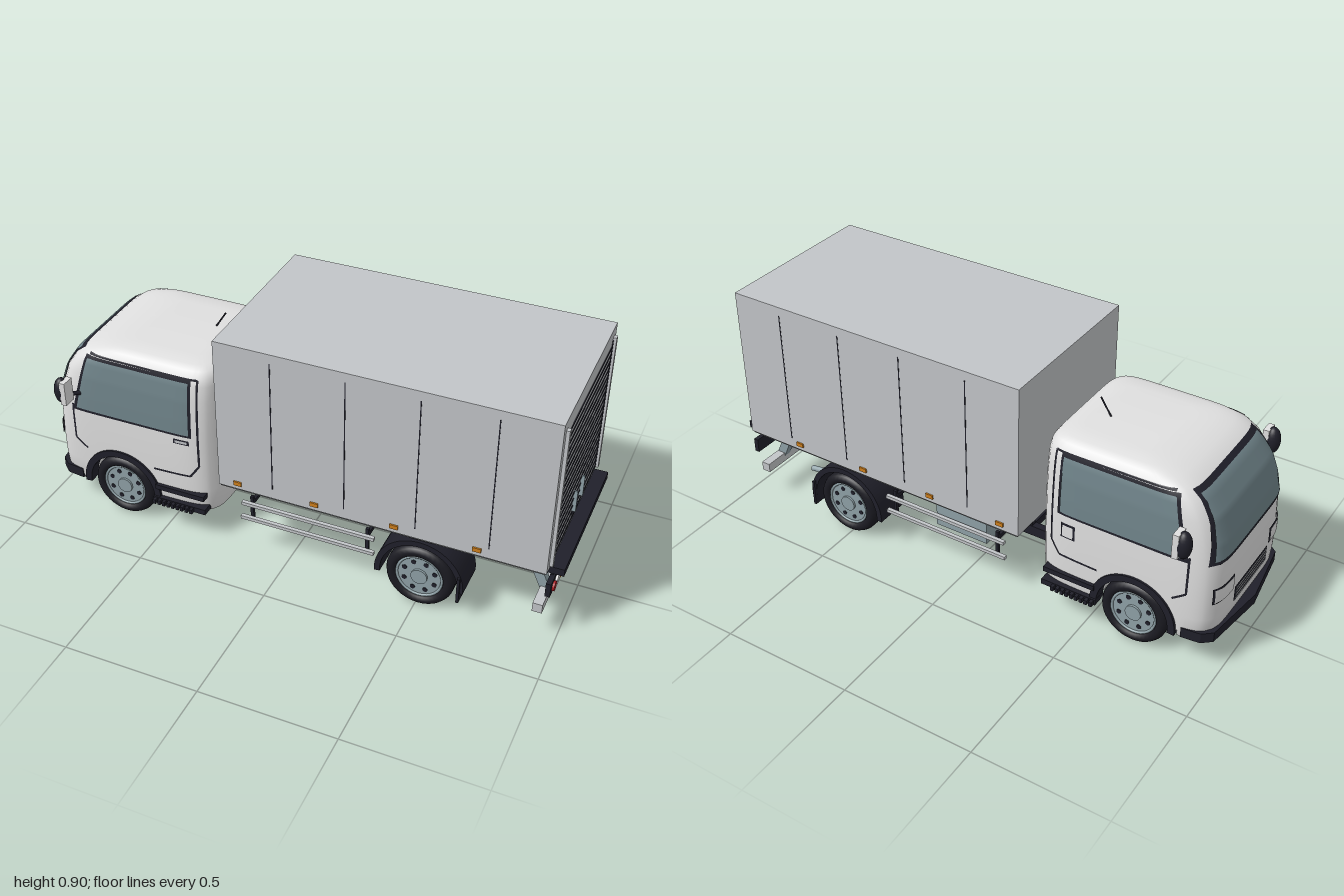
import * as THREE from 'three';
import { toCreasedNormals } from 'three/addons/utils/BufferGeometryUtils.js';
import { ParametricGeometry } from 'three/addons/geometries/ParametricGeometry.js';

function mat(name, color) {
  const m = new THREE.MeshStandardMaterial({ color, side: THREE.DoubleSide });
  m.name = name;
  return m;
}

// Cab sections from sill to roof: height, front x, back x, half width
const LEVELS = [
  [0.10, -0.945, -0.30, 0.278], [0.13, -0.962, -0.292, 0.287], [0.20, -0.968, -0.29, 0.29],
  [0.30, -0.968, -0.29, 0.291], [0.42, -0.963, -0.29, 0.29], [0.50, -0.945, -0.29, 0.286],
  [0.58, -0.917, -0.291, 0.28], [0.64, -0.876, -0.294, 0.271], [0.67, -0.835, -0.299, 0.261],
  [0.688, -0.785, -0.312, 0.243], [0.698, -0.73, -0.335, 0.215], [0.703, -0.66, -0.38, 0.16],
];
const POW = 7;
const ARCH = { x: -0.68, y: 0.125, r: 0.152 };

function sectionAt(y) {
  let k = 0;
  while (k < LEVELS.length - 2 && y > LEVELS[k + 1][0]) k++;
  const a = LEVELS[k], b = LEVELS[k + 1];
  const t = THREE.MathUtils.clamp((y - a[0]) / (b[0] - a[0]), 0, 1);
  const [, f, r, w] = a.map((v, i) => v + (b[i] - v) * t);
  return { c: (f + r) / 2, a: (r - f) / 2, w };
}
const round = (s) => Math.pow(Math.max(0, 1 - Math.pow(Math.abs(s), POW)), 1 / POW);
const sideZ = (x, y) => { const s = sectionAt(y); return s.w * round((x - s.c) / s.a); };
const frontX = (z, y) => { const s = sectionAt(y); return s.c - s.a * round(z / s.w); };

// Rounded cab shell, with the sill lifted over the wheel arches
function cabGeometry() {
  const ring = [], m = Math.pow(0.5, 1 / POW), N = 48, M = 20;
  for (let i = 0; i < N; i++) { const s = -m + 2 * m * i / N; ring.push([s, round(s)]); }
  for (let i = 0; i < M; i++) { const s = m - 2 * m * i / M; ring.push([round(s), s]); }
  for (let i = 0; i < N; i++) { const s = m - 2 * m * i / N; ring.push([s, -round(s)]); }
  for (let i = 0; i < M; i++) { const s = -m + 2 * m * i / M; ring.push([-round(s), s]); }
  const rows = [[LEVELS[0][0], 0], ...LEVELS.map((l) => [l[0], 1]), [0.703, 0]];
  const pos = [], idx = [], n = ring.length;
  rows.forEach(([h, wide]) => ring.forEach(([u, v]) => {
    let s = sectionAt(h);
    const d = s.c + s.a * u - ARCH.x;
    const y = Math.abs(d) < ARCH.r ? Math.max(h, ARCH.y + Math.sqrt(ARCH.r ** 2 - d * d)) : h;
    s = sectionAt(y);
    pos.push(s.c + s.a * u, y, s.w * v * wide);
  }));
  for (let k = 0; k < rows.length - 1; k++) for (let i = 0; i < n; i++) {
    const a = k * n + i, b = k * n + (i + 1) % n;
    idx.push(a, b, b + n, a, b + n, a + n);
  }
  const g = new THREE.BufferGeometry();
  g.setAttribute('position', new THREE.Float32BufferAttribute(pos, 3));
  g.setIndex(idx);
  return toCreasedNormals(g, 0.8);
}

// Plates that follow the cab skin; corners run around the quad
function skin(corners, toPoint, nu = 16, nv = 10) {
  const [a, b, c, d] = corners;
  return new ParametricGeometry((u, v, out) => {
    const at = (i) => (a[i] * (1 - u) + b[i] * u) * (1 - v) + (d[i] * (1 - u) + c[i] * u) * v;
    out.set(...toPoint(at(0), at(1)));
  }, nu, nv);
}
const sidePlate = (q, s, off) => skin(q, (x, y) => [x, y, s * (sideZ(x, y) + off)]);
const frontPlate = (q, off) => skin(q, (z, y) => [frontX(z, y) - off, y, z]);
const rect = (a0, a1, y0, y1) => [[a0, y0], [a1, y0], [a1, y1], [a0, y1]];
function stroke(x0, y0, x1, y1, w = 0.004) {
  const l = Math.hypot(x1 - x0, y1 - y0), nx = -(y1 - y0) / l * w, ny = (x1 - x0) / l * w;
  return [[x0 - nx, y0 - ny], [x1 - nx, y1 - ny], [x1 + nx, y1 + ny], [x0 + nx, y0 + ny]];
}

function fenderGeometry(inner, outer, depth) {
  const s = new THREE.Shape();
  s.absarc(0, 0, outer, -0.08, Math.PI + 0.08, false);
  s.absarc(0, 0, inner, Math.PI + 0.08, -0.08, true);
  return new THREE.ExtrudeGeometry(s, { depth, bevelEnabled: false, curveSegments: 24 }).translate(0, 0, -depth / 2);
}

export function createModel() {
  const white = mat('cab white', 0xe0e0e0), grey = mat('box grey', 0xc2c5c8), dark = mat('black trim', 0x20202a);
  const rubber = mat('tyre rubber', 0x1b1b22), glass = mat('window glass', 0x70848a), steel = mat('blue steel', 0x8fa1a7);
  const red = mat('red lamp', 0xb01c22), orange = mat('orange lamp', 0xd0801c), under = mat('floor grey', 0x606264);
  const root = new THREE.Group();
  root.name = 'boxTruck';
  const add = (name, geo, m, x = 0, y = 0, z = 0, parent = root) => {
    const o = new THREE.Mesh(geo, m);
    o.name = name;
    o.position.set(x, y, z);
    parent.add(o);
    return o;
  };
  // Box given by its limits
  const block = (name, m, x0, x1, y0, y1, z0, z1) =>
    add(name, new THREE.BoxGeometry(x1 - x0, y1 - y0, Math.abs(z1 - z0)), m, (x0 + x1) / 2, (y0 + y1) / 2, (z0 + z1) / 2);
  const rod = (name, m, r, p, q) => add(name, new THREE.TubeGeometry(
    new THREE.LineCurve3(new THREE.Vector3(...p), new THREE.Vector3(...q)), 1, r, 12), m);

  // Cab
  add('cab', cabGeometry(), white);
  block('cabBelly', white, -0.86, -0.50, 0.10, 0.29, -0.17, 0.17);
  add('windshieldFrame', frontPlate([[-0.268, 0.425], [0.268, 0.425], [0.222, 0.668], [-0.222, 0.668]], 0.004), dark);
  add('windshield', frontPlate([[-0.255, 0.438], [0.255, 0.438], [0.212, 0.656], [-0.212, 0.656]], 0.008), glass);
  add('grille', frontPlate(rect(-0.13, 0.13, 0.2, 0.265), 0.004), dark);
  for (let i = 0; i < 4; i++) add('grilleBar', frontPlate(rect(-0.125, 0.125, 0.205 + i * 0.015, 0.215 + i * 0.015), 0.007), grey);
  for (const s of [1, -1]) {
    add('headlightRim', frontPlate(rect(s * 0.14, s * 0.255, 0.265, 0.33), 0.003), dark);
    add('headlight', frontPlate(rect(s * 0.145, s * 0.25, 0.27, 0.325), 0.006), white);
  }
  const bump = new THREE.Shape([[-1, 0], [-0.965, 0.25], [-0.93, 0.28], [-0.86, 0.288], [-0.86, -0.288], [-0.93, -0.28], [-0.965, -0.25]]
    .map((p) => new THREE.Vector2(...p)));
  add('frontBumper', new THREE.ExtrudeGeometry(bump, { depth: 0.04, bevelEnabled: false }).rotateX(Math.PI / 2), dark, 0, 0.15, 0);
  rod('antenna', dark, 0.003, [-0.44, 0.695, -0.045], [-0.395, 0.765, -0.045]);

  const doorLines = [[-0.355, 0.31, -0.355, 0.665], [-0.355, 0.31, -0.39, 0.26], [-0.39, 0.26, -0.54, 0.255],
    [-0.868, 0.30, -0.868, 0.45], [-0.868, 0.30, -0.82, 0.265], [-0.355, 0.665, -0.79, 0.668]];
  for (const s of [1, -1]) {
    // Doors, windows and mirrors
    add('sideWindowFrame', sidePlate([[-0.868, 0.428], [-0.378, 0.43], [-0.378, 0.662], [-0.805, 0.662]], s, 0.003), dark);
    add('sideWindow', sidePlate([[-0.85, 0.44], [-0.388, 0.44], [-0.388, 0.652], [-0.797, 0.652]], s, 0.006), glass);
    for (const l of doorLines) add('doorSeam', sidePlate(stroke(...l), s, 0.003), dark);
    if (s > 0) {
      add('doorHandleRecess', sidePlate(rect(-0.45, -0.388, 0.396, 0.416), s, 0.003), dark);
      add('doorHandle', sidePlate(rect(-0.443, -0.395, 0.402, 0.412), s, 0.006), grey);
    } else {
      add('fuelFlapSeam', sidePlate(rect(-0.45, -0.395, 0.34, 0.40), s, 0.003), dark);
      add('fuelFlap', sidePlate(rect(-0.443, -0.402, 0.347, 0.393), s, 0.006), white);
    }
    const housing = add('mirrorHousing', new THREE.SphereGeometry(1, 20, 14), dark, -0.868, 0.542, s * 0.343);
    housing.scale.set(0.028, 0.052, 0.028);
    block('mirrorGlass', white, -0.86, -0.838, 0.495, 0.588, s * 0.318, s * 0.368);
    rod('mirrorArm', dark, 0.008, [-0.865, 0.52, s * 0.335], [-0.82, 0.50, s * 0.27]);
    // Entry step
    block('stepCover', dark, -0.535, -0.335, 0.168, 0.188, s * 0.27, s * 0.303);
    block('step', dark, -0.545, -0.33, 0.11, 0.132, s * 0.26, s * 0.305);
    for (let i = 0; i < 9; i++) block('stepRib', dark, -0.54 + i * 0.019, -0.528 + i * 0.019, 0.112, 0.13, s * 0.3, s * 0.322);
    add('frontFender', fenderGeometry(0.136, 0.162, 0.05), dark, ARCH.x, ARCH.y, s * 0.273);
  }

  // Cargo box
  block('cargoBox', grey, -0.25, 0.95, 0.30, 0.895, -0.33, 0.33);
  block('cargoFloor', under, -0.245, 0.945, 0.292, 0.301, -0.325, 0.325);
  for (const s of [1, -1]) {
    for (const x of [-0.04, 0.23, 0.49, 0.75]) block('panelSeam', dark, x - 0.002, x + 0.002, 0.34, 0.86, s * 0.329, s * 0.331);
    for (const x of [-0.175, 0.12, 0.415, 0.71]) block('sideMarker', orange, x - 0.015, x + 0.015, 0.317, 0.333, s * 0.329, s * 0.336);
    block('doorPost', grey, 0.945, 0.962, 0.315, 0.86, s * 0.286, s * 0.304);
    block('doorPostGap', dark, 0.945, 0.953, 0.318, 0.85, s * 0.281, s * 0.287);
    block('doorPull', steel, 0.95, 0.964, 0.36, 0.445, s * 0.044, s * 0.05);
  }
  for (let i = 0; i < 18; i++) block('shutterGroove', dark, 0.945, 0.953, 0.322 + i * 0.0295, 0.327 + i * 0.0295, -0.283, 0.283);
  block('shutterLatch', dark, 0.945, 0.956, 0.332, 0.341, -0.035, 0.035);

  // Chassis
  for (const s of [1, -1]) {
    block('chassisRail', dark, -0.32, 0.9, 0.2, 0.24, s * 0.162, s * 0.19);
    block('boxBearer', dark, -0.22, 0.9, 0.24, 0.295, s * 0.166, s * 0.186).visible = true;
    block('lowerGuard', grey, -0.18, 0.335, 0.15, 0.163, s * 0.295, s * 0.31);
    block('upperGuard', grey, -0.175, 0.335, 0.214, 0.227, s * 0.295, s * 0.31);
    for (const x of [-0.14, 0.305]) {
      block('guardPost', dark, x - 0.006, x + 0.006, 0.15, 0.25, s * 0.284, s * 0.296);
      block('guardBracket', dark, x - 0.006, x + 0.006, 0.215, 0.23, s * 0.18, s * 0.296);
    }
    add('rearFender', fenderGeometry(0.142, 0.163, 0.14), dark, 0.51, 0.122, s * 0.26);
    block('mudFlap', dark, 0.652, 0.662, 0.075, 0.18, s * 0.19, s * 0.34);
    const arm = add('bumperArm', new THREE.BoxGeometry(0.035, 0.13, 0.03), steel, 0.903, 0.185, s * 0.197);
    arm.rotation.z = 0.42;
  }
  for (const x of [-0.2, 0.2, 0.78]) block('crossMember', dark, x - 0.015, x + 0.015, 0.205, 0.235, -0.17, 0.17);
  block('fuelTank', steel, -0.09, 0.125, 0.168, 0.262, -0.285, -0.165);
  rod('exhaustPipe', steel, 0.011, [0.62, 0.125, -0.19], [0.78, 0.112, -0.2]);

  // Tail
  block('rearBumper', grey, 0.91, 0.945, 0.104, 0.14, -0.305, 0.305);
  block('tailBoard', dark, 0.94, 1.0, 0.276, 0.304, -0.29, 0.29);
  block('plateFrame', dark, 0.945, 0.957, 0.195, 0.24, -0.08, 0.08);
  block('numberPlate', white, 0.955, 0.96, 0.203, 0.232, -0.067, 0.067);
  block('plateHanger', dark, 0.945, 0.955, 0.235, 0.28, -0.02, 0.02);
  for (const s of [1, -1]) {
    block('tailLampPanel', dark, 0.948, 0.966, 0.19, 0.245, s * 0.16, s * 0.312);
    block('lampHanger', dark, 0.948, 0.958, 0.24, 0.28, s * 0.22, s * 0.26);
    [red, white, orange].forEach((m, i) =>
      add('tailLamp', new THREE.CylinderGeometry(0.018, 0.018, 0.012, 20).rotateZ(Math.PI / 2), m, 0.968, 0.216, s * 0.24 + 0.038 - i * 0.038));
  }

  // Wheels
  const wheel = (x, z, w, side) => {
    const g = new THREE.Group();
    g.name = 'wheel';
    g.position.set(x, 0.125, z);
    g.scale.z = side;
    root.add(g);
    const h = w / 2;
    const profile = [[0.086, -h + 0.014], [0.09, -h + 0.003], [0.105, -h], [0.119, -h + 0.007], [0.125, -h + 0.02],
      [0.125, h - 0.02], [0.119, h - 0.007], [0.105, h], [0.09, h - 0.003], [0.086, h - 0.014]];
    add('tyre', new THREE.LatheGeometry(profile.map((p) => new THREE.Vector2(...p)), 36).rotateX(Math.PI / 2), rubber, 0, 0, 0, g);
    const disc = (name, r, len, m, px, py, pz) =>
      add(name, new THREE.CylinderGeometry(r, r, len, 24).rotateX(Math.PI / 2), m, px, py, pz, g);
    disc('rim', 0.087, w - 0.024, steel, 0, 0, 0);
    disc('hub', 0.03, 0.016, steel, 0, 0, h - 0.012);
    add('rimLip', new THREE.TorusGeometry(0.083, 0.005, 8, 32), steel, 0, 0, h - 0.011, g);
    for (let i = 0; i < 8; i++) {
      const a = (i + 0.5) * Math.PI / 4;
      disc('rimHole', 0.009, 0.004, dark, Math.cos(a) * 0.06, Math.sin(a) * 0.06, h - 0.012);
    }
  };
  for (const s of [1, -1]) {
    wheel(ARCH.x, s * 0.245, 0.09, s);
    wheel(0.51, s * 0.29, 0.074, s);
    wheel(0.51, s * 0.217, 0.07, s);
  }
  for (const x of [ARCH.x, 0.51]) rod('axle', dark, 0.022, [x, 0.125, -0.22], [x, 0.125, 0.22]);
  add('differential', new THREE.SphereGeometry(0.05, 20, 14), dark, 0.51, 0.125, 0);
  return root;
}
